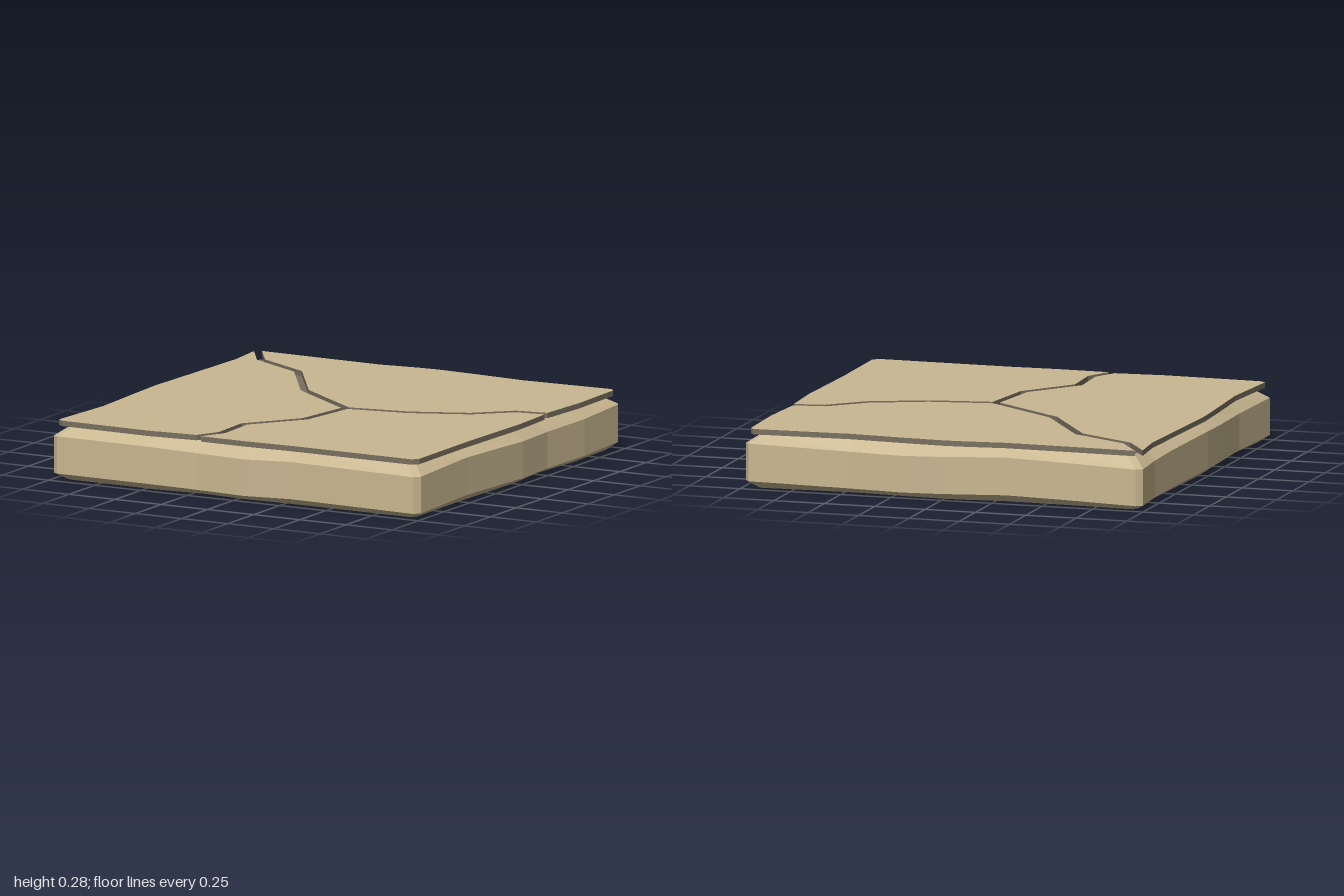
import * as THREE from 'three';

// Wavy outline of the slab as [x, z], running back, right, front, left
const BACK = [[-0.96, -0.99], [-0.6, -0.975], [-0.31, -0.97], [-0.1, -0.995], [0, -1], [0.2, -0.99], [0.48, -0.97], [0.96, -0.99]];
const RIGHT_BACK = [[0.98, -0.965], [0.99, -0.62]];
const RIGHT_NOTCH = [[0.97, -0.3]];
const RIGHT_FRONT = [[0.995, -0.02], [0.985, 0.5], [0.99, 0.955]];
const FRONT_RIGHT = [[0.965, 0.985], [0.3, 0.98], [0.05, 0.99]];
const FRONT_NOTCH = [[-0.21, 0.97]];
const FRONT_LEFT = [[-0.48, 0.99], [-0.965, 0.98]];
const LEFT = [[-0.995, 0.96], [-0.97, 0.57], [-0.99, 0.22], [-1, 0], [-0.985, -0.5], [-0.978, -0.75], [-0.99, -0.965]];
const OUTLINE = [...BACK, ...RIGHT_BACK, ...RIGHT_NOTCH, ...RIGHT_FRONT, ...FRONT_RIGHT, ...FRONT_NOTCH, ...FRONT_LEFT, ...LEFT];

// Crack centre lines, from the shared node out to the rim
const NODE = [0.07, 0.04];
const CRACK_CORNER = [[-0.31, -0.24], [-0.56, -0.62], [-0.85, -0.78], [-0.965, -0.955]];
const CRACK_RIGHT = [[0.38, -0.015], [0.65, -0.13], [0.81, -0.28], [0.96, -0.305]];
const CRACK_FRONT = [[0.03, 0.36], [-0.16, 0.61], [-0.15, 0.84], [-0.21, 0.96]];
const HALF_GAP = 0.019;

// Shift a polyline sideways with mitred corners
function offsetLine(points, distance) {
  const normal = (a, b) => new THREE.Vector2(-(b[1] - a[1]), b[0] - a[0]).normalize();
  return points.map((p, i) => {
    const before = i > 0 ? normal(points[i - 1], p) : normal(p, points[1]);
    const after = i < points.length - 1 ? normal(p, points[i + 1]) : before;
    const miter = before.clone().add(after).normalize();
    const d = distance / miter.dot(before);
    return [p[0] + miter.x * d, p[1] + miter.y * d];
  });
}

// Stone body: rings joined by facets, with a top and a bottom cap
function slabGeometry() {
  const n = OUTLINE.length;
  const wave = ([x, z]) => 0.009 * Math.sin(5 * x + 4.2 * z + 1);
  const ring = (scale, y, wobble) => OUTLINE.map(p => [p[0] * scale, y + wobble * wave(p), p[1] * scale]);
  const rings = [ring(0.955, 0, 0), ring(1, 0.03, 0.7), ring(1, 0.208, 1), ring(0.938, 0.256, 0)];
  const pos = [];
  for (let r = 0; r < rings.length - 1; r++) {
    for (let i = 0; i < n; i++) {
      const j = (i + 1) % n, a = rings[r], b = rings[r + 1];
      pos.push(...a[i], ...b[i], ...b[j], ...a[i], ...b[j], ...a[j]);
    }
  }
  for (let i = 0; i < n; i++) pos.push(0, 0, 0, ...rings[0][i], ...rings[0][(i + 1) % n]);
  const bodyCount = pos.length / 3;
  for (let i = 0; i < n; i++) pos.push(0, 0.256, 0, ...rings[3][(i + 1) % n], ...rings[3][i]);
  const g = new THREE.BufferGeometry();
  g.setAttribute('position', new THREE.Float32BufferAttribute(pos, 3));
  g.addGroup(0, bodyCount, 0);
  g.addGroup(bodyCount, n * 3, 1);
  g.computeVertexNormals();
  return g;
}

// One broken top plate, between two cracks and a stretch of the rim
function plateGeometry(crackIn, crackOut, rim) {
  const edge = offsetLine([...crackIn.slice().reverse(), NODE, ...crackOut], HALF_GAP);
  const points = [...edge, ...rim.map(([x, z]) => [x * 0.982, z * 0.982])];
  const shape = new THREE.Shape(points.map(([x, z]) => new THREE.Vector2(x, -z)));
  const g = new THREE.ExtrudeGeometry(shape, { depth: 0.026, bevelEnabled: false });
  g.rotateX(-Math.PI / 2).translate(0, 0.259, 0);
  // Only the upper cap is pale; underside and edges are dark
  const caps = g.groups[0].count, total = g.attributes.position.count;
  g.clearGroups();
  g.addGroup(0, caps / 2, 1);
  g.addGroup(caps / 2, caps / 2, 0);
  g.addGroup(caps, total - caps, 1);
  return g;
}

export function createModel() {
  const sandstone = new THREE.MeshStandardMaterial({ color: 0xc9b791 });
  sandstone.name = 'sandstone';
  const crackShade = new THREE.MeshStandardMaterial({ color: 0x797060 });
  crackShade.name = 'dark crack stone';
  const materials = [sandstone, crackShade];

  const model = new THREE.Group();
  model.name = 'crackedFloorTile';
  const add = (name, geometry) => {
    const mesh = new THREE.Mesh(geometry, materials);
    mesh.name = name;
    model.add(mesh);
  };

  add('slab', slabGeometry());
  add('backPlate', plateGeometry(CRACK_RIGHT, CRACK_CORNER, [...BACK.slice(1), ...RIGHT_BACK]));
  add('frontPlate', plateGeometry(CRACK_FRONT, CRACK_RIGHT, [...RIGHT_FRONT, ...FRONT_RIGHT]));
  add('leftPlate', plateGeometry(CRACK_CORNER, CRACK_FRONT, [...FRONT_LEFT, ...LEFT.slice(0, -1)]));
  return model;
}
